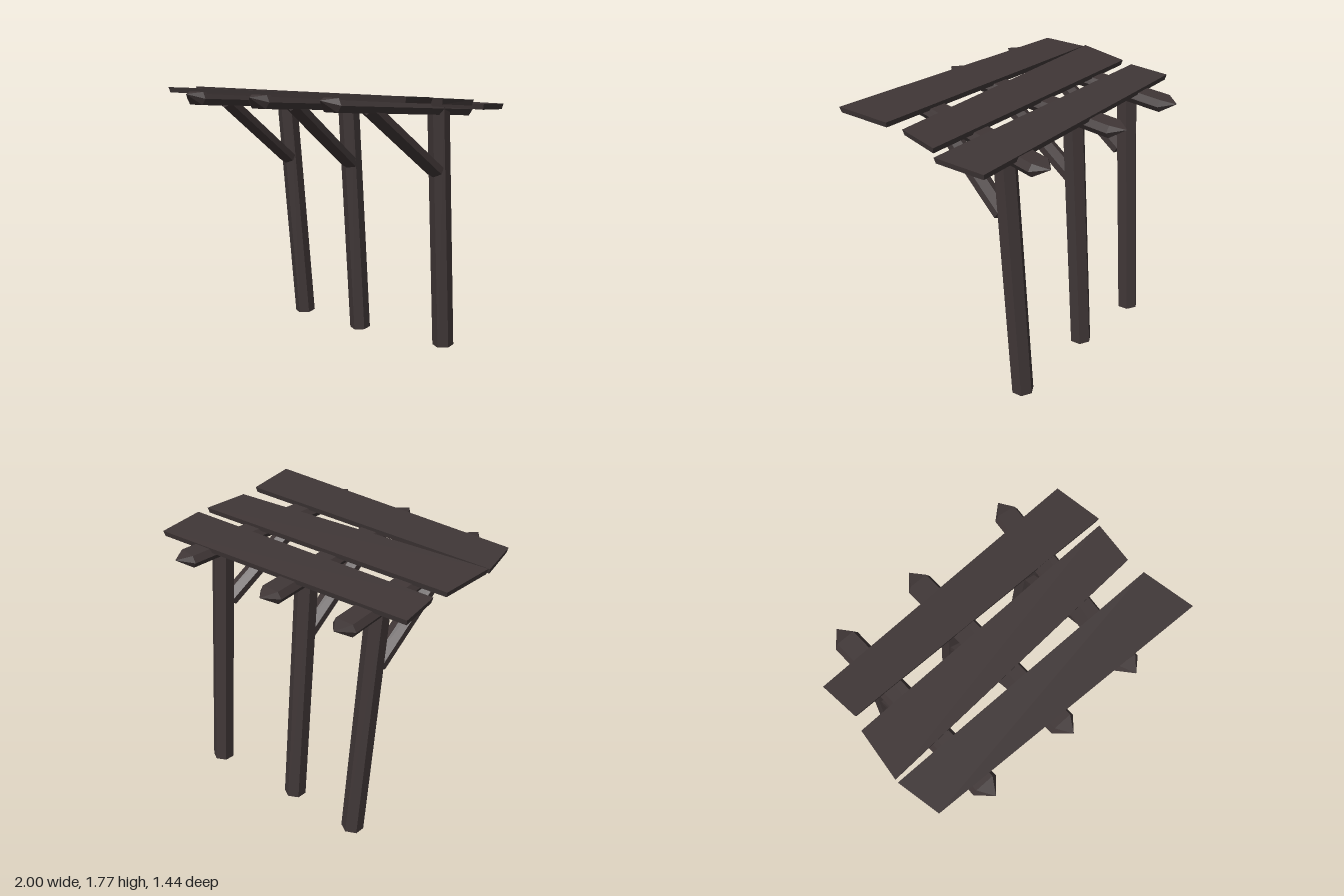
import * as THREE from 'three';

const wood = new THREE.MeshStandardMaterial({ color: 0x3f3636, flatShading: true });
wood.name = 'dark wood';

// Skin a list of equal-length rings (counter-clockwise about the loft direction), capped at both ends
function loft(name, rings) {
  const pos = [];
  const tri = (...pts) => pts.forEach((p) => pos.push(p.x, p.y, p.z));
  const n = rings[0].length;
  for (let i = 0; i < rings.length - 1; i++) {
    for (let j = 0; j < n; j++) {
      const k = (j + 1) % n;
      tri(rings[i][j], rings[i][k], rings[i + 1][k]);
      tri(rings[i][j], rings[i + 1][k], rings[i + 1][j]);
    }
  }
  const first = rings[0], last = rings[rings.length - 1];
  for (let j = 1; j < n - 1; j++) {
    tri(first[0], first[j + 1], first[j]);
    tri(last[0], last[j], last[j + 1]);
  }
  const geo = new THREE.BufferGeometry();
  geo.setAttribute('position', new THREE.Float32BufferAttribute(pos, 3));
  geo.computeVertexNormals();
  const mesh = new THREE.Mesh(geo, wood);
  mesh.name = name;
  return mesh;
}

// Straight beam with a constant profile; tip > 0 sharpens both ends to a point
function beam(name, from, to, profile, tip = 0) {
  const a = new THREE.Vector3(...from), b = new THREE.Vector3(...to);
  const u = b.clone().sub(a).normalize();
  const s = new THREE.Vector3(1, 0, 0).addScaledVector(u, -u.x).normalize();
  const n = u.clone().cross(s);
  const ring = (center, scale) => profile.map(([x, y]) =>
    center.clone().addScaledVector(s, x * scale).addScaledVector(n, y * scale));
  const rings = [ring(a.clone().addScaledVector(u, tip), 1), ring(b.clone().addScaledVector(u, -tip), 1)];
  if (tip) {
    rings.unshift(ring(a, 0.02));
    rings.push(ring(b, 0.02));
  }
  return loft(name, rings);
}

// Six-sided profile with a corner towards the front
function hexagon(rx, ry) {
  return Array.from({ length: 6 }, (_, i) => {
    const t = Math.PI / 6 + (i * Math.PI) / 3;
    return [Math.cos(t) * rx, Math.sin(t) * ry];
  });
}

// Roof board: four corners [x, top y, z], with the underside slightly inset
function board(name, corners, thickness = 0.035) {
  const top = corners.map((c) => new THREE.Vector3(...c));
  const bottom = top.map((p, i) => {
    const sx = i === 0 || i === 3 ? 1 : -1, sz = i < 2 ? -1 : 1;
    return new THREE.Vector3(p.x + sx * 0.008, p.y - thickness, p.z + sz * 0.008);
  });
  return loft(name, [bottom, top]);
}

export function createModel() {
  const model = new THREE.Group();
  model.name = 'leanToPergola';

  const postProfile = hexagon(0.072, 0.072);
  const braceProfile = hexagon(0.066, 0.047);
  const rafterProfile = [[-0.055, -0.066], [0.055, -0.066], [0.083, -0.025],
    [0.06, 0.018], [-0.06, 0.018], [-0.083, -0.025]];

  // Three frames, each a leaning post, a rafter and a diagonal brace
  const frames = [
    { side: 'right', foot: [-0.608, 0.04, -0.475], head: [-0.657, 1.66, -0.335],
      back: [-0.65, 1.638, -0.72], front: [-0.655, 1.732, 0.68], brace: [-0.64, -0.655] },
    { side: 'middle', foot: [-0.075, 0.015, -0.44], head: [-0.095, 1.66, -0.31],
      back: [-0.09, 1.638, -0.71], front: [-0.095, 1.732, 0.715], brace: [-0.085, -0.093] },
    { side: 'left', foot: [0.598, 0.006, -0.47], head: [0.597, 1.66, -0.335],
      back: [0.64, 1.638, -0.70], front: [0.42, 1.732, 0.70], brace: [0.595, 0.484] },
  ];
  for (const f of frames) {
    model.add(beam(f.side + 'Post', f.foot, f.head, postProfile));
    model.add(beam(f.side + 'Rafter', f.back, f.front, rafterProfile, 0.09));
    model.add(beam(f.side + 'Brace', [f.brace[0], 1.23, -0.32], [f.brace[1], 1.67, 0.3], braceProfile));
  }

  // Uneven roof boards
  model.add(board('frontBoard', [[-0.95, 1.763, 0.55], [0.95, 1.77, 0.64], [0.91, 1.747, 0.285], [-1, 1.745, 0.265]]));
  model.add(board('middleBoard', [[-1, 1.755, 0.245], [0.905, 1.735, 0.16], [0.955, 1.715, -0.13], [-0.955, 1.727, -0.105]]));
  model.add(board('backBoard', [[-0.925, 1.723, -0.195], [1, 1.688, -0.175], [0.97, 1.672, -0.51], [-0.945, 1.702, -0.465]]));

  return model;
}
